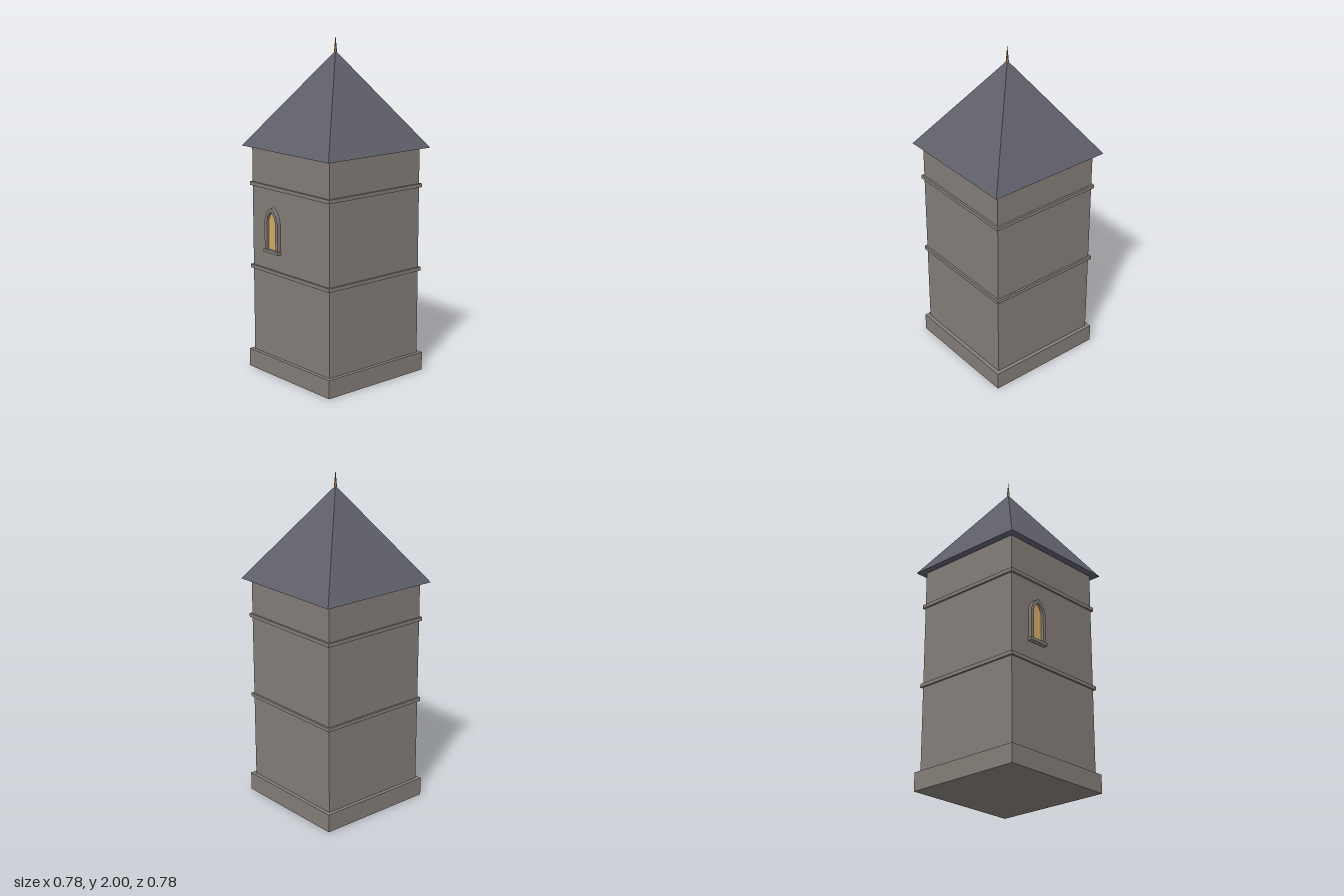
import * as THREE from 'three';

const flat = (name, color) => {
  const m = new THREE.MeshStandardMaterial({ color });
  m.name = name;
  return m;
};

// Pointed arch outline, centred on x = 0
function arch(path, half, bottom, spring, top) {
  const mid = spring + (top - spring) * 0.62;
  path.moveTo(-half, bottom);
  path.lineTo(half, bottom);
  path.lineTo(half, spring);
  path.quadraticCurveTo(half * 0.95, mid, 0, top);
  path.quadraticCurveTo(-half * 0.95, mid, -half, spring);
  path.lineTo(-half, bottom);
  return path;
}

export function createModel() {
  const stone = flat('stone', 0x857e79);
  const slate = flat('slate', 0x5e5f69);
  const glass = flat('amber glass', 0xd6aa68);
  const metal = flat('bronze', 0x8f6a3c);

  const tower = new THREE.Group();
  tower.name = 'tower';

  function add(name, geometry, material, x = 0, y = 0, z = 0, parent = tower) {
    const mesh = new THREE.Mesh(geometry, material);
    mesh.name = name;
    mesh.position.set(x, y, z);
    parent.add(mesh);
    return mesh;
  }

  // Square block between two heights
  const block = (name, half, y0, y1) =>
    add(name, new THREE.BoxGeometry(half * 2, y1 - y0, half * 2), stone, 0, (y0 + y1) / 2, 0);

  block('plinth', 0.368, 0, 0.11);
  block('walls', 0.345, 0.11, 1.355);
  block('lowerBand', 0.357, 0.618, 0.64);
  block('upperBand', 0.357, 1.121, 1.143);

  // Pyramid roof with closed underside
  const roof = new THREE.ConeGeometry(0.388 * Math.SQRT2, 0.555, 4).toNonIndexed();
  roof.rotateY(Math.PI / 4);
  roof.computeVertexNormals();
  add('roof', roof, slate, 0, 1.355 + 0.555 / 2, 0);

  // Thin finial on the apex
  add('finial', new THREE.ConeGeometry(0.01, 0.11, 8), metal, 0, 1.945, 0);

  // Lancet window on the front, right of centre
  const window = new THREE.Group();
  window.name = 'window';
  window.position.set(-0.148, 0, 0.345);
  tower.add(window);

  const frame = arch(new THREE.Shape(), 0.06, 0.762, 0.925, 1.016);
  frame.holes.push(arch(new THREE.Path(), 0.039, 0.763, 0.925, 0.992));
  add('windowFrame', new THREE.ExtrudeGeometry(frame, { depth: 0.022, bevelEnabled: false, curveSegments: 8 }),
    stone, 0, 0, 0, window);

  const pane = arch(new THREE.Shape(), 0.04, 0.762, 0.925, 0.993);
  add('windowPane', new THREE.ExtrudeGeometry(pane, { depth: 0.006, bevelEnabled: false, curveSegments: 8 }),
    glass, 0, 0, 0, window);

  add('windowSill', new THREE.BoxGeometry(0.132, 0.018, 0.027), stone, 0, 0.755, 0.0135, window);

  return tower;
}
